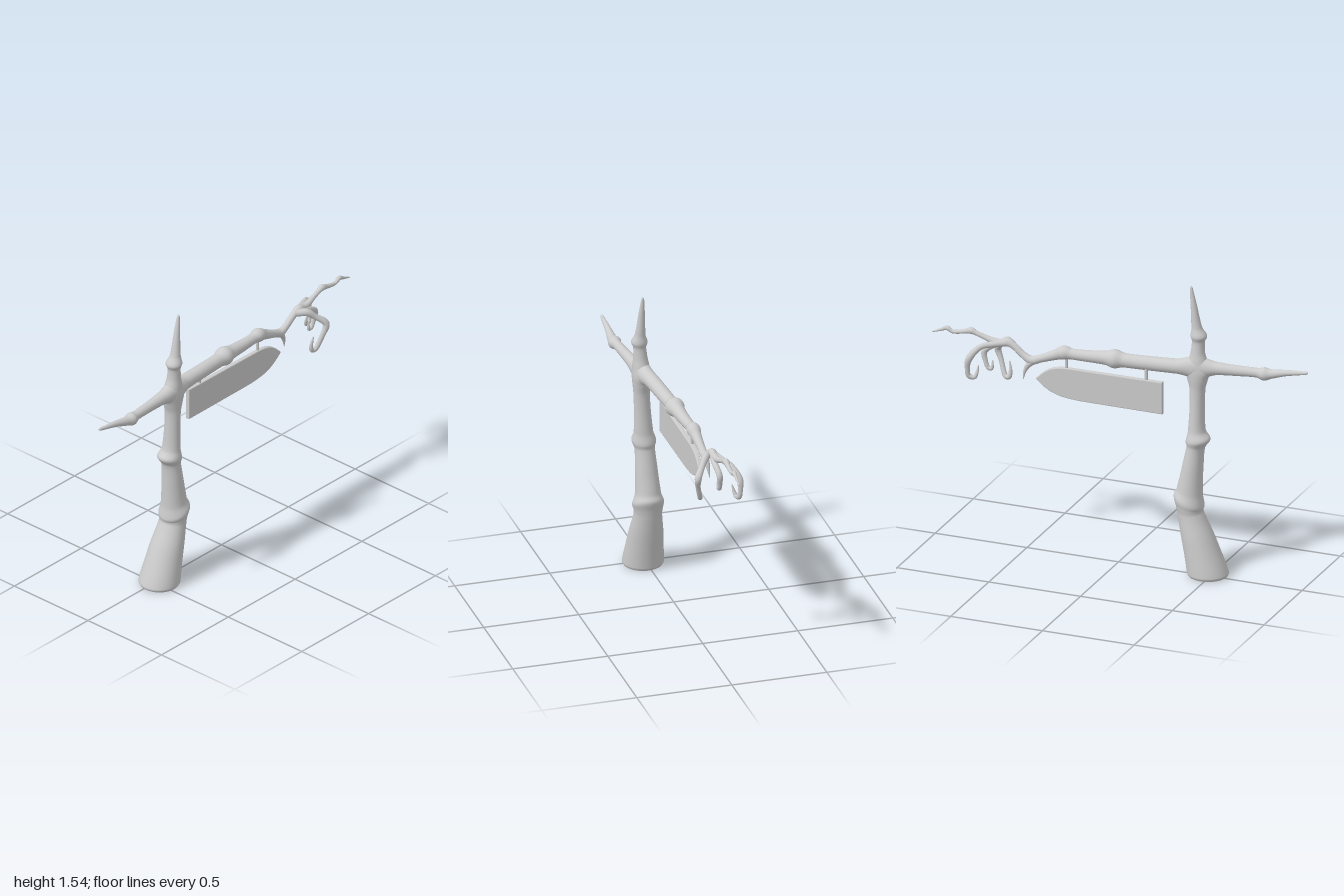
import * as THREE from 'three';

const material = new THREE.MeshStandardMaterial({ color: 0xcccccc });

// Tapering limb through stations [x, y, z, radius, depthRadius?, tilt?].
// level = true keeps every ring horizontal apart from its own tilt.
function limb(name, stations, sides = 20, level = false) {
  const path = new THREE.CatmullRomCurve3(stations.map(s => new THREE.Vector3(s[0], s[1], s[2])));
  const size = new THREE.CatmullRomCurve3(
    stations.map(s => new THREE.Vector3(s[3], s[4] ?? s[3], s[5] ?? 0)), false, 'catmullrom', 0.4);
  const rows = (stations.length - 1) * 6;
  const pos = [], index = [];
  const zAxis = new THREE.Vector3(0, 0, 1);
  for (let i = 0; i <= rows; i++) {
    const c = path.getPoint(i / rows), s = size.getPoint(i / rows);
    const t = path.getTangent(i / rows);
    const u = level ? new THREE.Vector3(1, s.z, 0) : t.clone().cross(zAxis).normalize();
    const v = level ? zAxis : u.clone().cross(t).normalize();
    for (let j = 0; j < sides; j++) {
      const a = j / sides * Math.PI * 2;
      const p = c.clone().addScaledVector(u, Math.cos(a) * s.x).addScaledVector(v, Math.sin(a) * s.y);
      pos.push(p.x, p.y, p.z);
    }
  }
  for (let i = 0; i < rows; i++) for (let j = 0; j < sides; j++) {
    const a = i * sides + j, b = i * sides + (j + 1) % sides;
    index.push(a, a + sides, b, b, a + sides, b + sides);
  }
  // end caps with their own corners, so the rims stay sharp
  for (const [row, flip] of [[0, false], [rows, true]]) {
    const first = pos.length / 3;
    pos.push(...pos.slice(row * sides * 3, (row + 1) * sides * 3));
    const c = path.getPoint(row / rows);
    pos.push(c.x, c.y, c.z);
    for (let j = 0; j < sides; j++) {
      const a = first + j, b = first + (j + 1) % sides;
      index.push(first + sides, flip ? b : a, flip ? a : b);
    }
  }
  const g = new THREE.BufferGeometry();
  g.setAttribute('position', new THREE.Float32BufferAttribute(pos, 3));
  g.setIndex(index);
  g.computeVertexNormals();
  const mesh = new THREE.Mesh(g, material);
  mesh.name = name;
  return mesh;
}

export function createModel() {
  const model = new THREE.Group();
  model.name = 'branchSignpost';

  // bent trunk with swollen joints and a spike on top
  model.add(limb('trunk', [
    [-0.482, 0.012, 0.015, 0.1], [-0.48, 0.03, 0.015, 0.106], [-0.43, 0.2, 0.016, 0.087, 0.09],
    [-0.387, 0.33, 0.018, 0.068, 0.073], [-0.379, 0.365, 0.018, 0.069, 0.075, 0.2],
    [-0.376, 0.4, 0.02, 0.078, 0.081, 0.35],
    [-0.379, 0.45, 0.02, 0.066, 0.066, 0.2], [-0.392, 0.57, 0.024, 0.055, 0.058],
    [-0.409, 0.69, 0.028, 0.047, 0.052], [-0.421, 0.73, 0.029, 0.063, 0.063, -0.1],
    [-0.413, 0.78, 0.033, 0.044, 0.05], [-0.412, 0.9, 0.039, 0.038, 0.043],
    [-0.412, 1.0, 0.043, 0.04, 0.042], [-0.412, 1.06, 0.044, 0.055, 0.046],
    [-0.412, 1.1, 0.045, 0.068, 0.047], [-0.412, 1.15, 0.047, 0.05, 0.043],
    [-0.411, 1.2, 0.05, 0.036], [-0.413, 1.255, 0.053, 0.033],
    [-0.415, 1.285, 0.054, 0.042], [-0.404, 1.33, 0.053, 0.027],
    [-0.39, 1.44, 0.05, 0.017], [-0.376, 1.54, 0.048, 0.007], [-0.375, 1.55, 0.048, 0.002],
  ], 32, true));

  // crossing branch, spiked at the right end and running into the wrist at the left
  model.add(limb('crossBranch', [
    [-1, 1.152, 0.074, 0.004], [-0.99, 1.15, 0.075, 0.008], [-0.88, 1.133, 0.078, 0.016],
    [-0.8, 1.115, 0.08, 0.024], [-0.762, 1.11, 0.078, 0.034],
    [-0.725, 1.112, 0.075, 0.025], [-0.6, 1.11, 0.063, 0.028], [-0.51, 1.109, 0.055, 0.034],
    [-0.46, 1.106, 0.05, 0.048, 0.04], [-0.412, 1.103, 0.044, 0.068, 0.045],
    [-0.36, 1.103, 0.035, 0.05, 0.042], [-0.31, 1.102, 0.025, 0.039],
    [-0.15, 1.099, 0.012, 0.037], [-0.03, 1.098, 0.004, 0.037], [0.02, 1.1, 0, 0.049],
    [0.07, 1.099, -0.003, 0.036], [0.17, 1.095, -0.008, 0.03], [0.25, 1.095, -0.013, 0.028],
    [0.29, 1.097, -0.015, 0.036], [0.335, 1.08, -0.017, 0.027], [0.41, 1.05, -0.02, 0.021],
    [0.465, 1.032, -0.022, 0.022], [0.51, 1.053, -0.022, 0.018], [0.56, 1.092, -0.02, 0.018],
    [0.6, 1.11, -0.02, 0.022], [0.64, 1.1, -0.02, 0.016],
  ], 24));
  model.add(limb('wristThorn', [
    [0.45, 1.035, -0.022, 0.02], [0.485, 1.0, -0.027, 0.014],
    [0.5, 0.965, -0.031, 0.008], [0.506, 0.928, -0.034, 0.002],
  ], 12));

  // claw-like twig hand: one pointing finger and three curled ones
  const fingers = {
    pointingFinger: [
      [0.59, 1.108, -0.02, 0.02], [0.66, 1.103, -0.025, 0.018], [0.72, 1.122, -0.03, 0.013],
      [0.765, 1.138, -0.033, 0.013], [0.79, 1.146, -0.034, 0.017], [0.825, 1.137, -0.034, 0.012],
      [0.89, 1.127, -0.036, 0.01], [0.92, 1.142, -0.037, 0.012], [0.95, 1.13, -0.038, 0.008],
      [1, 1.11, -0.04, 0.003]],
    frontFinger: [
      [0.57, 1.1, -0.015, 0.018], [0.615, 1.1, 0.02, 0.02], [0.65, 1.07, 0.048, 0.015],
      [0.692, 1.025, 0.082, 0.018], [0.672, 0.965, 0.077, 0.013], [0.638, 0.888, 0.056, 0.013],
      [0.618, 0.89, 0.052, 0.012], [0.612, 0.925, 0.055, 0.009], [0.62, 0.972, 0.062, 0.003]],
    middleFinger: [
      [0.6, 1.1, -0.018, 0.016], [0.66, 1.085, -0.012, 0.015], [0.722, 1.042, -0.02, 0.016],
      [0.715, 0.99, -0.025, 0.012], [0.698, 0.955, -0.026, 0.011], [0.682, 0.955, -0.026, 0.01],
      [0.676, 0.998, -0.024, 0.003]],
    backFinger: [
      [0.6, 1.106, -0.025, 0.018], [0.66, 1.098, -0.05, 0.016], [0.72, 1.085, -0.08, 0.015],
      [0.768, 1.028, -0.112, 0.018], [0.778, 0.975, -0.113, 0.013], [0.772, 0.932, -0.108, 0.013],
      [0.745, 0.925, -0.1, 0.011], [0.735, 0.945, -0.093, 0.009], [0.73, 0.985, -0.083, 0.003]],
  };
  const hand = new THREE.Group();
  hand.name = 'twigHand';
  for (const [name, stations] of Object.entries(fingers)) hand.add(limb(name, stations, 12));
  model.add(hand);

  // hanging board with a rounded point
  const bevel = 0.005;
  const outline = new THREE.Shape();
  outline.moveTo(-0.24, 0.85);
  outline.lineTo(0.18, 0.852);
  outline.bezierCurveTo(0.32, 0.855, 0.37, 0.87, 0.438, 0.935);
  outline.bezierCurveTo(0.39, 0.985, 0.36, 1.008, 0.27, 1.011);
  outline.lineTo(-0.24, 1.014);
  outline.closePath();
  const boardGeometry = new THREE.ExtrudeGeometry(outline, {
    depth: 0.014, bevelEnabled: true, bevelSize: bevel, bevelThickness: bevel, bevelSegments: 2, curveSegments: 16 });
  const board = new THREE.Mesh(boardGeometry, material);
  board.name = 'board';
  board.position.z = -0.017;
  model.add(board);

  // two pegs holding the board under the branch
  for (const x of [-0.155, 0.28]) {
    const peg = new THREE.Mesh(new THREE.CylinderGeometry(0.008, 0.008, 0.09, 12), material);
    peg.name = 'boardPeg';
    peg.position.set(x, 1.045, -0.01);
    model.add(peg);
  }
  // rest the trunk on the ground
  model.children[0].position.y = -0.012;
  return model;
}
